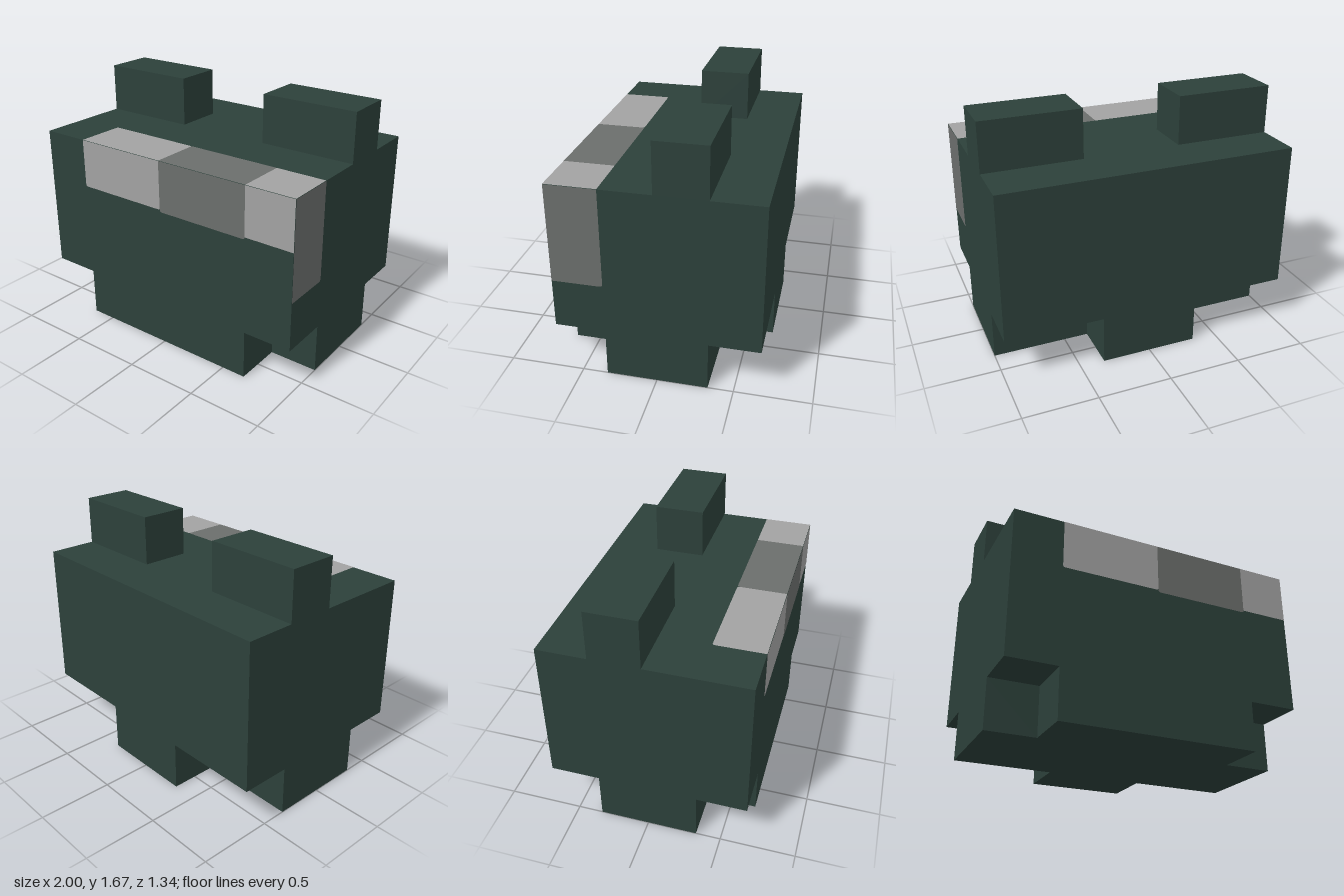
import * as THREE from 'three';

const U = 1 / 3; // modelling unit
const GAP = 0.002; // lift of the painted plates

export function createModel() {
  const green = new THREE.MeshStandardMaterial({ color: 0x2c403a });
  green.name = 'dark green';
  const light = new THREE.MeshStandardMaterial({ color: 0xa2a2a2 });
  light.name = 'light grey';
  const dark = new THREE.MeshStandardMaterial({ color: 0x6b6e6c });
  dark.name = 'mid grey';

  const group = new THREE.Group();
  const add = (name, geometry, material) => {
    const mesh = new THREE.Mesh(geometry, material);
    mesh.name = name;
    group.add(mesh);
    return mesh;
  };

  // Main block
  add('body', new THREE.BoxGeometry(6 * U, 3 * U, 4 * U), green).position.y = 2.5 * U;

  // Base with notched corners; shape y becomes -z
  const half = [[2, -2], [2, -1], [3, -1], [3, 1], [1, 1], [1, 2]];
  const outline = [...half, ...half.map(([x, y]) => [-x, y]).reverse()];
  const footprint = new THREE.Shape(outline.map(([x, y]) => new THREE.Vector2(x * U, y * U)));
  const base = new THREE.ExtrudeGeometry(footprint, { depth: U, bevelEnabled: false });
  add('base', base.rotateX(-Math.PI / 2), green);

  // Ears
  for (const side of [-1, 1]) {
    const ear = add(side > 0 ? 'leftEar' : 'rightEar', new THREE.BoxGeometry(2 * U, U, U), green);
    ear.position.set(side * 2 * U, 4.5 * U, -0.5 * U);
  }

  // Flat patch with optionally rounded lower-left / lower-right corners
  const patch = (x0, x1, y0, y1, left, right) => {
    const s = new THREE.Shape();
    s.moveTo(x0 + left, y0);
    s.lineTo(x1 - right, y0);
    s.quadraticCurveTo(x1, y0, x1, y0 + right);
    s.lineTo(x1, y1);
    s.lineTo(x0, y1);
    s.lineTo(x0, y0 + left);
    s.quadraticCurveTo(x0, y0, x0 + left, y0);
    return new THREE.ShapeGeometry(s, 4);
  };

  // Band across the front edge
  const band = [
    ['bandRight', -2 * U, 0, 3 * U, light, 0.015, 0.015],
    ['bandMiddle', 0, 0.66, 0.985, dark, 0.015, 0.015],
    ['bandLeft', 0.66, 1, 3 * U, light, 0, 0],
  ];
  for (const [name, x0, x1, y0, material, l, r] of band) {
    add(name + 'Front', patch(x0, x1, y0, 4 * U, l, r), material).position.z = 2 * U + GAP;
    // Top strip, rounded along its rear edge
    const top = patch(-x1, -x0, U, 2 * U, r, l);
    top.rotateZ(Math.PI).rotateX(-Math.PI / 2).translate(0, 4 * U + GAP, 0);
    add(name + 'Top', top, material);
  }

  // Patch wrapping onto the left side; shape x becomes -z
  const side = patch(-2 * U, -U, 2 * U, 4 * U, 0, 0.02);
  add('bandSide', side.rotateY(Math.PI / 2).translate(1 + GAP, 0, 0), dark);

  return group;
}
